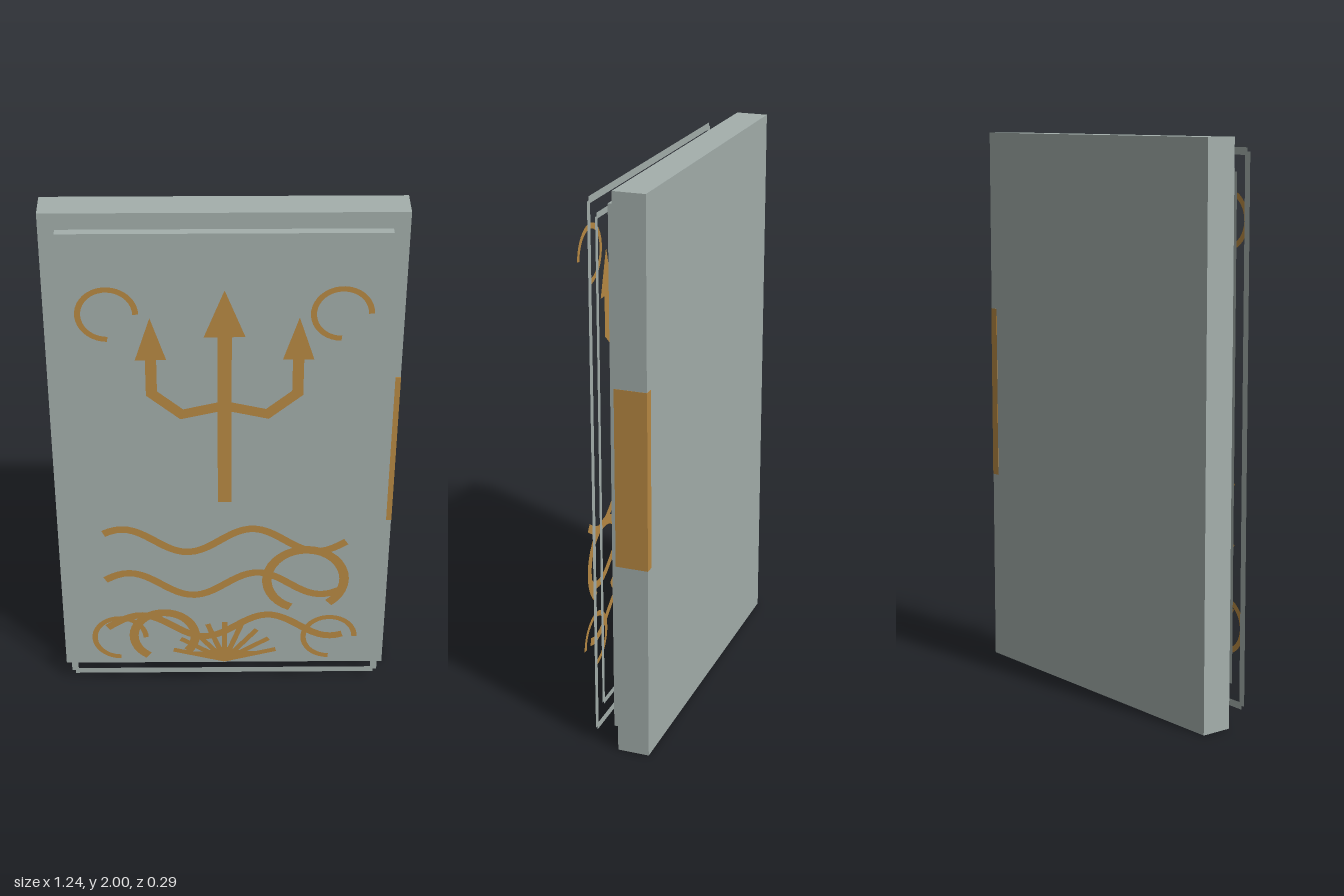
import * as THREE from 'three';

const stone = new THREE.MeshStandardMaterial({ color: 0xa4afac, side: THREE.DoubleSide });
stone.name = 'grey stone';
const gold = new THREE.MeshStandardMaterial({ color: 0xb98a43, side: THREE.DoubleSide });
gold.name = 'old gold';

const RING_Z = 0.066, RELIEF_Z = 0.143;

export function createModel() {
  const group = new THREE.Group();

  const add = (name, geometry, material, x = 0, y = 0, z = 0) => {
    const mesh = new THREE.Mesh(geometry, material);
    mesh.name = name;
    mesh.position.set(x, y, z);
    group.add(mesh);
    return mesh;
  };
  const shapeOf = pts => new THREE.Shape(pts.map(([x, y]) => new THREE.Vector2(x, y)));
  const flat = (name, pts) => add(name, new THREE.ShapeGeometry(shapeOf(pts)), gold, 0, 0, RELIEF_Z);

  // Flat ribbon of constant width along a list of points, with mitred joints
  const ribbon = (name, pts, width) => {
    const p = pts.map(([x, y]) => new THREE.Vector2(x, y));
    const normal = (a, b) => new THREE.Vector2(a.y - b.y, b.x - a.x).normalize();
    const position = [], index = [];
    p.forEach((q, i) => {
      const n0 = normal(p[Math.max(i - 1, 0)], p[Math.max(i, 1)]);
      const n1 = normal(p[Math.min(i, p.length - 2)], p[Math.min(i + 1, p.length - 1)]);
      const m = n0.clone().add(n1).normalize();
      m.multiplyScalar(width / 2 / m.dot(n0));
      position.push(q.x - m.x, q.y - m.y, 0, q.x + m.x, q.y + m.y, 0);
      if (i) {
        const k = 2 * i;
        index.push(k - 2, k, k + 1, k - 2, k + 1, k - 1);
      }
    });
    const g = new THREE.BufferGeometry();
    g.setAttribute('position', new THREE.Float32BufferAttribute(position, 3));
    g.setIndex(index);
    g.computeVertexNormals();
    return add(name, g, gold, 0, 0, RELIEF_Z);
  };

  // Open arc, angles in degrees
  const arc = (name, x, y, radius, width, from, to) => {
    const pts = [];
    for (let i = 0; i <= 28; i++) {
      const a = THREE.MathUtils.degToRad(from + (to - from) * i / 28);
      pts.push([x + radius * Math.cos(a), y + radius * Math.sin(a)]);
    }
    return ribbon(name, pts, width);
  };

  // Door slab and raised panel
  add('doorSlab', new THREE.BoxGeometry(1.236, 2, 0.114), stone, 0, 1, -0.087);
  add('doorPanel', new THREE.BoxGeometry(1.122, 1.886, 0.03), stone, 0, 1, -0.008);
  add('edgePlate', new THREE.BoxGeometry(0.034, 0.636, 0.116), gold, 0.602, 1.027, -0.087);

  // Thin border frames with notched corners
  const frame = (name, w, h, border) => {
    const n = border * 0.55;
    const pts = [
      [-w + n, -h], [w - n, -h], [w - n, -h + n], [w, -h + n], [w, h - n], [w - n, h - n],
      [w - n, h], [-w + n, h], [-w + n, h - n], [-w, h - n], [-w, -h + n], [-w + n, -h + n]];
    const shape = shapeOf(pts);
    const a = w - border, b = h - border;
    shape.holes.push(shapeOf([[-a, -b], [-a, b], [a, b], [a, -b]]));
    add(name, new THREE.ShapeGeometry(shape), stone, 0, 1, RING_Z);
  };
  frame('outerFrame', 0.588, 0.964, 0.025);
  frame('innerFrame', 0.524, 0.895, 0.021);

  // Trident
  ribbon('tridentShaft', [[0, 0.93], [0, 1.63]], 0.048);
  flat('tridentHead', [[-0.07, 1.626], [0.07, 1.626], [0, 1.808]]);
  for (const s of [-1, 1]) {
    ribbon('tridentArm', [[0, 1.348], [s * 0.147, 1.313], [s * 0.249, 1.4], [s * 0.249, 1.54]], 0.038);
    flat('tridentSideHead', [[s * 0.249 - 0.053, 1.536], [s * 0.249 + 0.053, 1.536], [s * 0.249, 1.702]]);
  }

  // Three waves
  for (const [y, crest] of [[0.755, -0.37], [0.55, -0.35], [0.345, -0.31]]) {
    const pts = [];
    for (let i = 0; i <= 40; i++) {
      const x = -0.437 + 0.877 * i / 40;
      pts.push([x, y + 0.053 * Math.cos(2 * Math.PI * (x - crest) / 0.47)]);
    }
    ribbon('wave', pts, 0.03);
  }

  // Corner curls
  for (const x of [-0.391, 0.391])
    for (const y of [1.716, 0.288]) arc('cornerCurl', x, y, 0.096, 0.02, 0, 270);

  // Tentacles
  arc('rightTentacle', 0.297, 0.567, 0.142, 0.035, -52, 248);
  arc('leftTentacle', -0.225, 0.295, 0.115, 0.034, -41, 238);

  // Shell: a solid base with nine rays
  flat('shellBase', [[0, 0.164], [0.19, 0.216], [0.07, 0.215], [0, 0.24], [-0.07, 0.215], [-0.19, 0.216]]);
  for (let i = 0; i < 9; i++) {
    const a = THREE.MathUtils.degToRad(16 + 18.5 * i);
    ribbon('shellRay', [[0, 0.172], [0.2 * Math.cos(a), 0.172 + 0.19 * Math.sin(a)]], 0.02);
  }

  return group;
}
